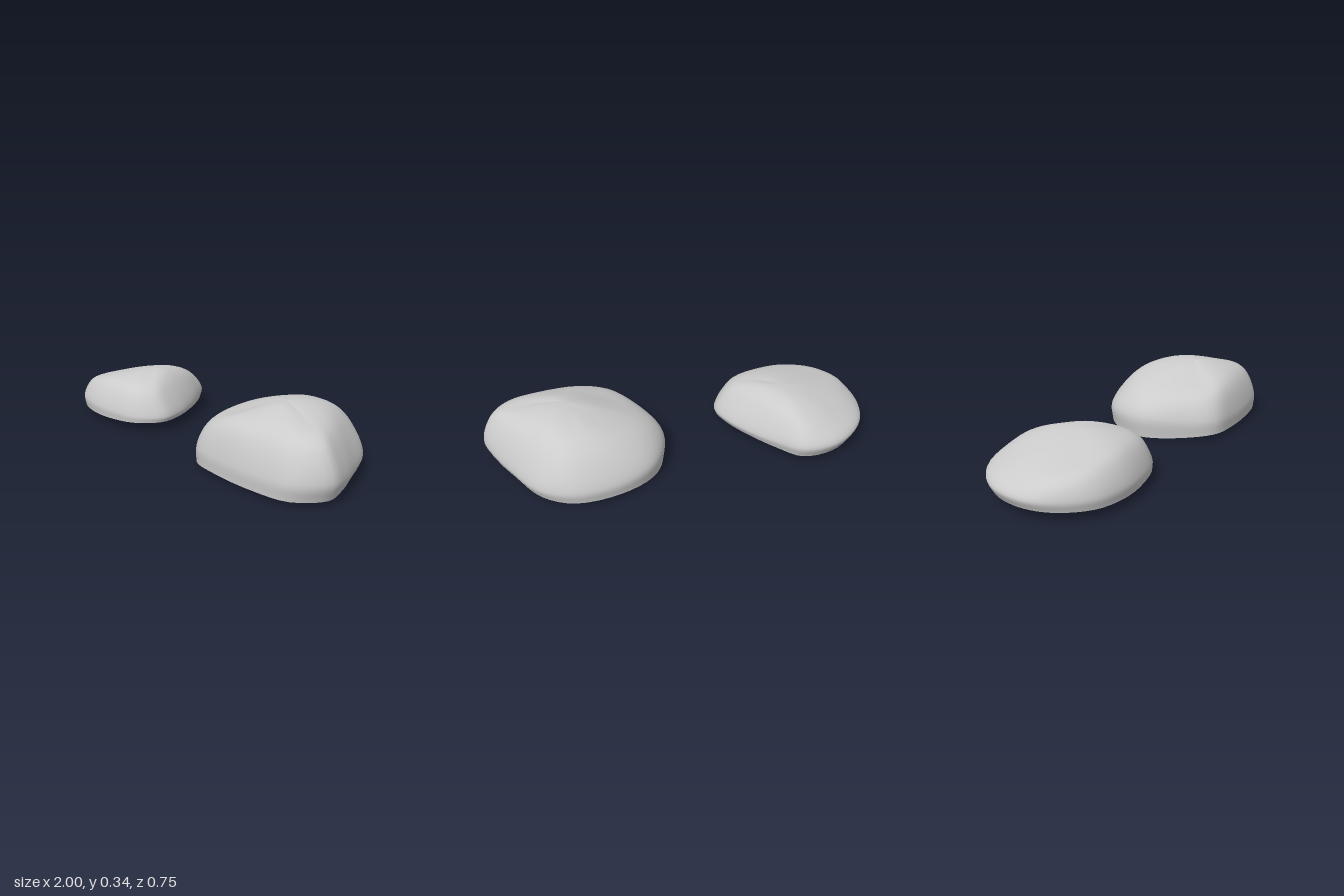
import * as THREE from 'three';

const COLUMNS = 56, ROWS = 24;

const material = new THREE.MeshStandardMaterial({ color: 0xcccccc, side: THREE.DoubleSide });
const { smoothstep } = THREE.MathUtils;

const toPoints = (rows) => rows.map((p) => new THREE.Vector3(...p));

// A hollow boulder, open below: closed rings (left, back, right, front) lofted up to an apex
function boulder(name, { bulge, shoulder, crown, apex, rimScale, rimShift, rimY }) {
  const top = new THREE.Vector3(...apex);
  const bulgePoints = toPoints(bulge);
  const centre = bulgePoints.reduce((s, p) => s.add(p), new THREE.Vector3()).divideScalar(bulge.length);
  const rim = bulgePoints.map((p) => new THREE.Vector3(
    centre.x + (p.x - centre.x) * rimScale[0] + rimShift[0],
    rimY(p),
    centre.z + (p.z - centre.z) * rimScale[1] + rimShift[1]));
  const rings = [rim, bulgePoints, toPoints(shoulder), toPoints(crown)]
    .map((points) => new THREE.CatmullRomCurve3(points, true));

  const positions = [], index = [];
  for (let i = 0; i < COLUMNS; i++) {
    const column = rings.map((ring) => ring.getPoint(i / COLUMNS));
    // Carry each profile over the apex so that the crown stays smooth
    const beyond = rings[3].getPoint((i / COLUMNS + 0.5) % 1);
    const profile = new THREE.CatmullRomCurve3([...column, top, beyond]);
    for (let j = 0; j < ROWS; j++) positions.push(...profile.getPoint((j / ROWS) * 0.8).toArray());
  }
  positions.push(...apex);
  const last = COLUMNS * ROWS;
  const at = (i, j) => (j === ROWS ? last : (i % COLUMNS) * ROWS + j);
  for (let i = 0; i < COLUMNS; i++) {
    for (let j = 0; j < ROWS; j++) {
      index.push(at(i, j), at(i, j + 1), at(i + 1, j));
      if (j < ROWS - 1) index.push(at(i + 1, j), at(i, j + 1), at(i + 1, j + 1));
    }
  }
  const geometry = new THREE.BufferGeometry();
  geometry.setAttribute('position', new THREE.Float32BufferAttribute(positions, 3));
  geometry.setIndex(index);
  geometry.computeVertexNormals();
  const mesh = new THREE.Mesh(geometry, material);
  mesh.name = name;
  return mesh;
}

export function createModel() {
  const model = new THREE.Group();
  model.name = 'boulders';

  // Large boulder with a broad flat crown and a steep right-hand facet
  model.add(boulder('largeBoulder', {
    bulge: [
      [0.105, 0.11, 0], [0.13, 0.11, -0.13], [0.22, 0.11, -0.26], [0.4, 0.1, -0.345],
      [0.63, 0.095, -0.35], [0.785, 0.08, -0.25], [0.895, 0.075, -0.06], [0.965, 0.09, 0.08],
      [0.998, 0.1, 0.2], [0.9, 0.1, 0.33], [0.72, 0.1, 0.368], [0.45, 0.1, 0.368],
      [0.28, 0.1, 0.335], [0.17, 0.1, 0.18],
    ],
    shoulder: [
      [0.16, 0.19, 0], [0.2, 0.205, -0.11], [0.29, 0.22, -0.2], [0.44, 0.235, -0.26],
      [0.62, 0.24, -0.265], [0.72, 0.24, -0.195], [0.81, 0.25, -0.05], [0.885, 0.253, 0.09],
      [0.93, 0.245, 0.19], [0.86, 0.245, 0.275], [0.7, 0.25, 0.305], [0.47, 0.245, 0.31],
      [0.32, 0.215, 0.285], [0.22, 0.2, 0.16],
    ],
    crown: [
      [0.33, 0.275, 0], [0.36, 0.283, -0.06], [0.41, 0.29, -0.12], [0.5, 0.305, -0.15],
      [0.58, 0.308, -0.155], [0.66, 0.312, -0.12], [0.72, 0.318, -0.02], [0.77, 0.309, 0.09],
      [0.79, 0.3, 0.14], [0.73, 0.313, 0.17], [0.63, 0.322, 0.17], [0.52, 0.308, 0.175],
      [0.42, 0.275, 0.175], [0.34, 0.265, 0.1],
    ],
    apex: [0.58, 0.337, 0.06],
    rimScale: [0.97, 0.995],
    rimShift: [-0.008, 0.003],
    // The rim dips at its left end and lifts at the back
    rimY: (p) => 0.02 - 0.02 * smoothstep(0.28 - p.x, 0, 0.175) + 0.01 * smoothstep(-p.z, 0.2, 0.35),
  }));

  // Small boulder, lower and sloping down to the left
  model.add(boulder('smallBoulder', {
    bulge: [
      [-1, 0.095, 0], [-0.96, 0.095, -0.16], [-0.87, 0.1, -0.275], [-0.72, 0.1, -0.36],
      [-0.55, 0.1, -0.357], [-0.45, 0.09, -0.26], [-0.345, 0.08, -0.12], [-0.265, 0.075, 0.02],
      [-0.235, 0.075, 0.15], [-0.33, 0.08, 0.272], [-0.52, 0.09, 0.32], [-0.7, 0.095, 0.32],
      [-0.86, 0.095, 0.268], [-0.97, 0.095, 0.14],
    ],
    shoulder: [
      [-0.935, 0.16, 0], [-0.89, 0.165, -0.11], [-0.8, 0.175, -0.2], [-0.7, 0.182, -0.27],
      [-0.57, 0.19, -0.29], [-0.49, 0.2, -0.22], [-0.4, 0.21, -0.07], [-0.335, 0.205, 0.06],
      [-0.305, 0.19, 0.15], [-0.37, 0.195, 0.23], [-0.53, 0.205, 0.26], [-0.68, 0.2, 0.262],
      [-0.85, 0.175, 0.22], [-0.945, 0.157, 0.115],
    ],
    crown: [
      [-0.77, 0.223, 0], [-0.75, 0.225, -0.06], [-0.7, 0.233, -0.11], [-0.64, 0.242, -0.15],
      [-0.56, 0.25, -0.16], [-0.51, 0.256, -0.11], [-0.45, 0.262, -0.02], [-0.4, 0.25, 0.07],
      [-0.39, 0.24, 0.12], [-0.44, 0.245, 0.155], [-0.54, 0.248, 0.17], [-0.65, 0.237, 0.17],
      [-0.75, 0.218, 0.145], [-0.79, 0.215, 0.07],
    ],
    apex: [-0.55, 0.268, 0],
    rimScale: [0.97, 0.97],
    rimShift: [0.005, 0.008],
    rimY: (p) => 0.036 + 0.012 * Math.abs((p.x + 0.6) / 0.4),
  }));

  return model;
}
